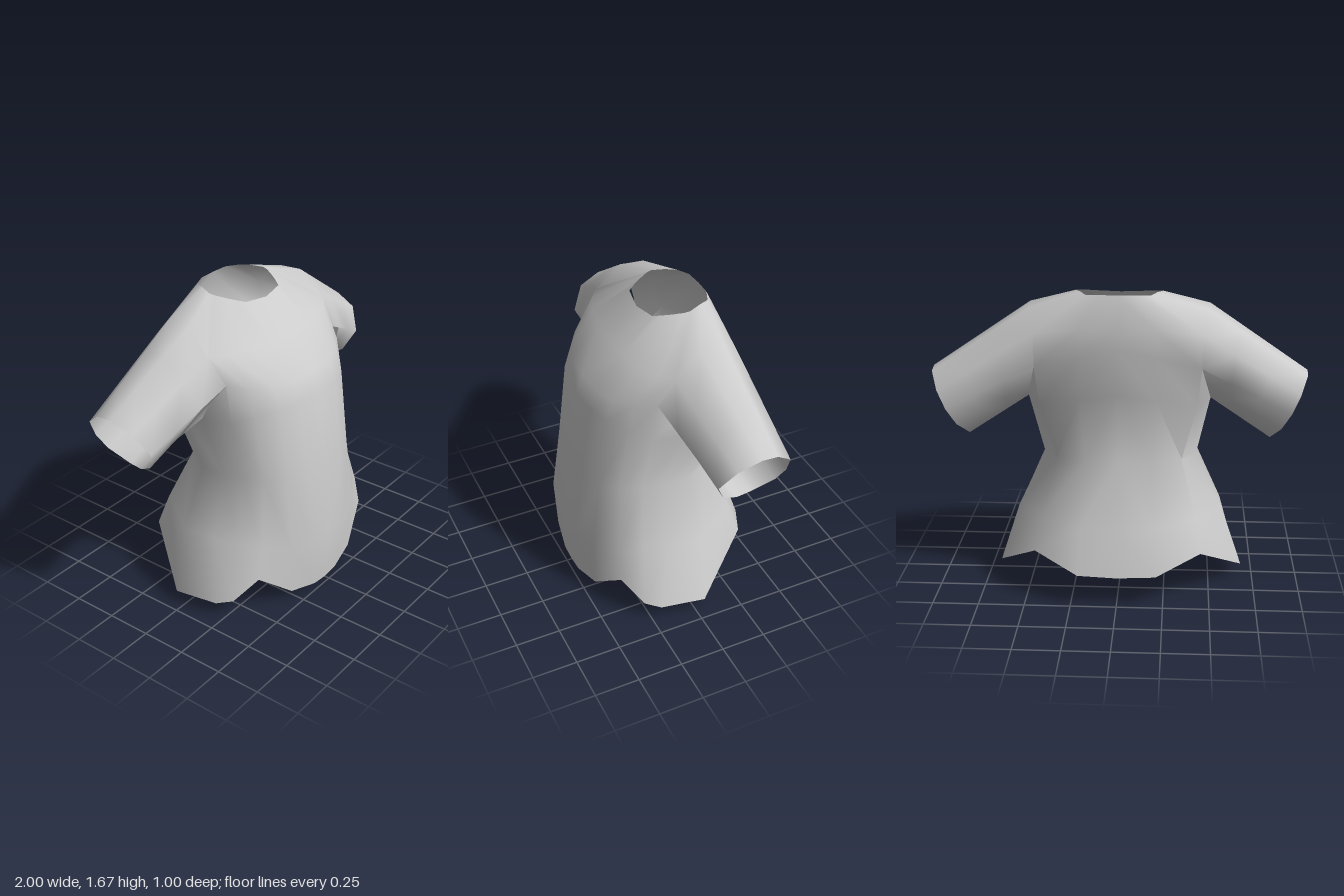
import * as THREE from 'three';
import { toCreasedNormals } from 'three/addons/utils/BufferGeometryUtils.js';

// Half cross-sections of the torso, from centre front round the left side to centre back
const hem = [[0, 0, .47], [.1, .01, .47], [.28, .05, .44], [.49, .22, .37], [.6, .1, .28],
  [.65, .08, .2], [.685, .07, -.05], [.45, .27, -.38], [.21, .18, -.5], [0, .17, -.5]];
const hip = [[0, .32, .495], [.14, .32, .49], [.3, .34, .45], [.45, .4, .36], [.52, .42, .25],
  [.56, .42, .12], [.57, .42, -.08], [.42, .45, -.32], [.2, .42, -.42], [0, .4, -.43]];
const waist = [[0, .75, .45], [.15, .75, .44], [.28, .75, .4], [.36, .75, .31], [.4, .75, .2],
  [.42, .74, .08], [.42, .74, -.06], [.34, .75, -.2], [.18, .75, -.27], [0, .75, -.28]];
const armpit = [[0, 1.17, .395], [.16, 1.17, .39], [.28, 1.16, .35], [.39, 1.14, .27], [.46, 1.1, .17],
  [.49, 1.09, .0], [.49, 1.09, -.16], [.42, 1.07, -.28], [.2, 1.12, -.35], [0, 1.15, -.365]];
const chest = [[0, 1.28, .36], [.16, 1.28, .35], [.28, 1.28, .31], [.39, 1.29, .24], [.46, 1.31, .14],
  [.47, 1.2, .05], [.47, 1.18, -.26], [.44, 1.29, -.33], [.2, 1.35, -.36], [0, 1.4, -.375]];
const yoke = [[0, 1.46, .2], [.16, 1.46, .2], [.3, 1.46, .17], [.42, 1.46, .12], [.5, 1.46, .06],
  [.48, 1.59, -.08], [.48, 1.58, -.22], [.44, 1.47, -.33], [.2, 1.5, -.37], [0, 1.48, -.375]];
const collar = [[0, 1.62, .045], [.14, 1.63, .02], [.17, 1.64, -.02], [.2, 1.65, -.07], [.225, 1.66, -.12],
  [.23, 1.665, -.15], [.2, 1.67, -.22], [.17, 1.665, -.28], [.1, 1.67, -.31], [0, 1.67, -.315]];

// Armhole loop and the matching cuff loop, running front, underside, back, top
const armhole = [chest[4], chest[5], armpit[5], armpit[6], chest[6], chest[7], yoke[7], yoke[6], yoke[5], yoke[4]];
const cuff = [[.92, 1.08, .03], [.87, .96, -.03], [.83, .9, -.13], [.81, .89, -.22], [.86, .97, -.33],
  [.91, 1.06, -.36], [.955, 1.16, -.35], [.995, 1.24, -.25], [1, 1.25, -.16], [.98, 1.2, -.04]];

export function createModel() {
  const positions = [];
  const mirror = ([x, y, z]) => [-x, y, z];
  const triangle = (a, b, c) => {
    positions.push(...a, ...b, ...c, ...mirror(a), ...mirror(c), ...mirror(b));
  };
  const quad = (a, b, c, d) => { triangle(a, b, c); triangle(a, c, d); };

  // Torso, leaving the armhole open
  const rings = [hem, hip, waist, armpit, chest, yoke, collar];
  for (let r = 0; r < rings.length - 1; r++) {
    for (let j = 0; j < 9; j++) {
      const open = (r === 3 && j === 5) || (r === 4 && j >= 4 && j <= 6);
      if (!open) quad(rings[r][j], rings[r][j + 1], rings[r + 1][j + 1], rings[r + 1][j]);
    }
  }

  // Sleeves, from armhole to cuff
  const steps = 3, n = armhole.length;
  const at = (k, s) => armhole[k % n].map((v, i) => THREE.MathUtils.lerp(v, cuff[k % n][i], s / steps));
  for (let s = 0; s < steps; s++) {
    for (let k = 0; k < n; k++) quad(at(k, s), at(k + 1, s), at(k + 1, s + 1), at(k, s + 1));
  }

  // One continuous cloth surface with a sharp fold under the arms
  const geometry = new THREE.BufferGeometry();
  geometry.setAttribute('position', new THREE.Float32BufferAttribute(positions, 3));
  const cloth = new THREE.MeshStandardMaterial({ color: 0xcccccc, side: THREE.DoubleSide });
  cloth.name = 'light grey cloth';
  const shirt = new THREE.Mesh(toCreasedNormals(geometry, 1.05), cloth);
  shirt.name = 'shirt';

  const group = new THREE.Group();
  group.name = 'shortSleevedShirt';
  group.add(shirt);
  return group;
}
